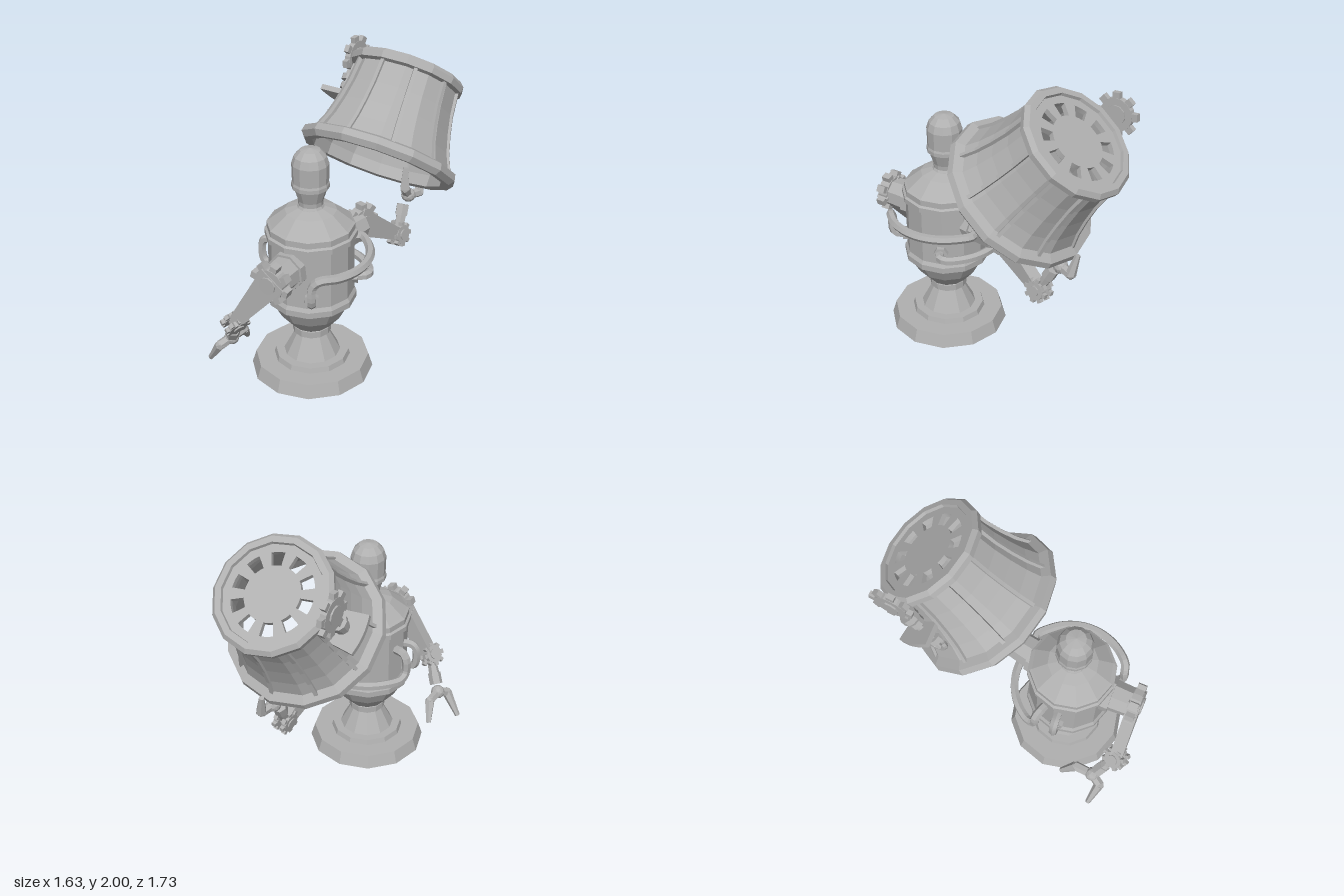
import * as THREE from 'three';

const V = (x, y, z) => new THREE.Vector3(x, y, z);
const UP = V(0, 1, 0);

export function createModel() {
  const metal = new THREE.MeshStandardMaterial({ color: 0xb0b0b0, flatShading: true, side: THREE.DoubleSide });
  metal.name = 'grey metal';
  const model = new THREE.Group();
  model.name = 'lampRobot';

  const add = (parent, name, geo) => {
    const m = new THREE.Mesh(geo, metal);
    m.name = name;
    parent.add(m);
    return m;
  };
  const group = (parent, name) => {
    const g = new THREE.Group();
    g.name = name;
    parent.add(g);
    return g;
  };
  const lathe = (parent, name, pts, sides) =>
    add(parent, name, new THREE.LatheGeometry(pts.map(p => new THREE.Vector2(p[0], p[1])), sides));
  // tapered round bar between two points
  const bar = (parent, name, a, b, r1, r2, sides = 6) => {
    const m = add(parent, name, new THREE.CylinderGeometry(r2, r1, a.distanceTo(b), sides));
    m.position.copy(a).lerp(b, 0.5);
    m.quaternion.setFromUnitVectors(UP, b.clone().sub(a).normalize());
    return m;
  };
  // toothed wheel turning on the given axis
  const gear = (parent, name, pos, axis, r, t, teeth) => {
    const g = group(parent, name);
    add(g, 'wheel', new THREE.CylinderGeometry(r * 0.76, r * 0.76, t, teeth * 2));
    add(g, 'hub', new THREE.CylinderGeometry(r * 0.42, r * 0.46, t * 1.5, 10));
    for (let i = 0; i < teeth; i++) {
      const a = i / teeth * Math.PI * 2;
      const tooth = add(g, 'tooth', new THREE.BoxGeometry(r * 0.36, t * 0.85, r * 0.34));
      tooth.position.set(Math.cos(a) * r * 0.82, 0, Math.sin(a) * r * 0.82);
      tooth.rotation.y = -a;
    }
    g.position.copy(pos);
    g.quaternion.setFromUnitVectors(UP, axis.clone().normalize());
  };
  // flat tapered arm plate from a to b, lying square to the axis
  const link = (parent, name, a, b, w1, w2, t, axis) => {
    const L = a.distanceTo(b), s = new THREE.Shape();
    s.moveTo(-w1 * 0.3, -w1 / 2);
    s.lineTo(L, -w2 / 2);
    s.lineTo(L, w2 / 2);
    s.lineTo(-w1 * 0.3, w1 / 2);
    const geo = new THREE.ExtrudeGeometry(s, { depth: t, bevelEnabled: false });
    geo.translate(0, 0, -t / 2);
    const x = b.clone().sub(a).normalize();
    const z = axis.clone().addScaledVector(x, -axis.dot(x)).normalize();
    const m = add(parent, name, geo);
    m.quaternion.setFromRotationMatrix(new THREE.Matrix4().makeBasis(x, z.clone().cross(x), z));
    m.position.copy(a);
  };

  // Stand, torso, neck and head turned on one axis
  const C = V(-0.15, 0, 0.36);
  const body = group(model, 'body');
  body.position.copy(C);
  lathe(body, 'base', [[0, 0], [0.4, 0], [0.372, 0.09], [0.25, 0.09], [0.24, 0.125], [0.185, 0.125],
    [0.11, 0.27], [0.125, 0.28], [0.125, 0.325], [0.11, 0.335], [0, 0.335]], 12);
  lathe(body, 'torso', [[0, 0.33], [0.13, 0.335], [0.21, 0.43], [0.265, 0.53], [0.29, 0.54], [0.29, 0.58],
    [0.275, 0.605], [0.275, 0.985], [0.295, 0.995], [0.295, 1.03], [0.28, 1.04], [0.28, 1.08], [0.265, 1.09],
    [0.165, 1.17], [0.09, 1.195], [0, 1.2]], 12);
  lathe(body, 'head', [[0.09, 1.19], [0.078, 1.21], [0.08, 1.24], [0.108, 1.325], [0.12, 1.33], [0.12, 1.355],
    [0.115, 1.37], [0.118, 1.49], [0.102, 1.54], [0.065, 1.58], [0, 1.592]], 12);

  // Hoses and grab handle around the torso; polar points are [degrees from front, radius, height]
  const polar = ([deg, r, y]) => {
    const a = deg * Math.PI / 180;
    return V(Math.sin(a) * r, y, Math.cos(a) * r);
  };
  const hose = (name, pts, r) => {
    const curve = new THREE.CatmullRomCurve3(pts.map(polar), false, 'centripetal');
    add(body, name, new THREE.TubeGeometry(curve, 40, r, 6));
    const p = pts[0];
    bar(body, name + 'Flange', polar([p[0], 0.25, p[2]]), polar([p[0], 0.3, p[2]]), 0.048, 0.048);
  };
  const arc = (from, to, r, y) => Array.from({ length: 7 }, (_, i) => [from + (to - from) * i / 6, r, y]);
  hose('frontHose', [[4, 0.25, 0.68], [4, 0.34, 0.68], [4, 0.365, 0.71], [5, 0.365, 0.82],
    ...arc(11, 124, 0.375, 0.865), [134, 0.26, 0.865]], 0.03);
  hose('backHose', [[88, 0.25, 0.7], [88, 0.34, 0.7], [94, 0.37, 0.7], ...arc(102, 215, 0.375, 0.7),
    [223, 0.365, 0.73], [224, 0.365, 0.83], [224, 0.34, 0.87], [224, 0.25, 0.87]], 0.03);
  hose('grabHandle', [[246, 0.25, 0.7], [246, 0.33, 0.7], [246, 0.355, 0.73], [246, 0.355, 0.84],
    [246, 0.33, 0.87], [246, 0.25, 0.87]], 0.028);

  // Arms: shoulder block, gear, upper arm, elbow, forearm and two-fingered claw
  const arm = (name, p) => {
    const g = group(model, name);
    const dir = V(p.out[0], 0, p.out[1]).normalize();
    const at = d => V(C.x, 0.865, C.z).addScaledVector(dir, d);
    bar(g, 'shoulderCollar', at(0.23), at(0.3), 0.125, 0.125, 8);
    bar(g, 'shoulder', at(0.28), at(p.reach), 0.11, 0.1, 8);
    gear(g, 'shoulderGear', p.shoulder, p.axis, 0.135, 0.07, 8);
    link(g, 'upperArm', p.shoulder, p.elbow, 0.19, 0.075, 0.085, p.axis);
    const bend = p.elbow.clone().sub(p.shoulder).cross(p.wrist.clone().sub(p.elbow)).normalize();
    for (const k of [-1, 1])
      gear(g, 'elbowGear', p.elbow.clone().addScaledVector(bend, k * 0.032), bend, 0.085, 0.035, 8);
    bar(g, 'forearm', p.elbow, p.wrist, 0.03, 0.042);
    bar(g, 'wristCuff', p.elbow.clone().lerp(p.wrist, 0.62), p.wrist, 0.046, 0.046);
    const palm = add(g, 'palm', new THREE.IcosahedronGeometry(0.05, 1));
    palm.position.copy(p.palm);
    for (const [knuckle, tip] of p.fingers) {
      bar(g, 'fingerBase', p.palm, knuckle, 0.032, 0.034);
      add(g, 'knuckle', new THREE.IcosahedronGeometry(0.036, 0)).position.copy(knuckle);
      bar(g, 'fingerTip', knuckle, tip, 0.036, 0.018);
    }
  };
  arm('rightArm', {
    out: [-0.47, 0.88], reach: 0.47, axis: V(-0.47, 0, 0.88),
    shoulder: V(-0.365, 0.875, 0.765), elbow: V(-0.615, 0.495, 0.64),
    wrist: V(-0.655, 0.32, 0.52), palm: V(-0.665, 0.275, 0.485),
    fingers: [[V(-0.735, 0.24, 0.53), V(-0.815, 0.085, 0.45)], [V(-0.6, 0.27, 0.38), V(-0.59, 0.155, 0.28)]],
  });
  arm('leftArm', {
    out: [0.62, -0.78], reach: 0.46, axis: V(0.73, 0, 0.68),
    shoulder: V(0.15, 0.875, -0.02), elbow: V(0.4, 0.64, -0.29),
    wrist: V(0.43, 0.82, -0.38), palm: V(0.465, 0.87, -0.425),
    fingers: [[V(0.44, 0.95, -0.36), V(0.44, 1.1, -0.38)], [V(0.54, 0.86, -0.49), V(0.53, 1.0, -0.53)]],
  });

  // Tilted shade: local y runs from mouth to crown, local x points to the gear side
  const lamp = group(model, 'shade');
  const axis = V(0.3, 0.77, -0.565).normalize();
  const side = V(-0.84, 0, -0.54);
  side.addScaledVector(axis, -side.dot(axis)).normalize();
  lamp.quaternion.setFromRotationMatrix(new THREE.Matrix4().makeBasis(side, axis, side.clone().cross(axis)));
  lamp.position.set(0.245, 1.25, -0.14);
  lathe(lamp, 'shadeShell', [[0.45, 0], [0.505, -0.005], [0.535, 0.03], [0.525, 0.075], [0.465, 0.095], [0.425, 0.19],
    [0.392, 0.31], [0.366, 0.44], [0.35, 0.59], [0.385, 0.6], [0.39, 0.64], [0.365, 0.667], [0.325, 0.667],
    [0.318, 0.63], [0.33, 0.58], [0.35, 0.44], [0.377, 0.31], [0.41, 0.19], [0.45, 0.08], [0.45, 0]], 14);

  // Crown plate with a ring of vents
  const plate = new THREE.Shape().absarc(0, 0, 0.33, 0, Math.PI * 2);
  for (let i = 0; i < 10; i++) {
    const a = i * Math.PI / 5, w = 0.17;
    const vent = new THREE.Path();
    vent.absarc(0, 0, 0.265, a - w, a + w, false);
    vent.absarc(0, 0, 0.18, a + w, a - w, true);
    vent.closePath();
    plate.holes.push(vent);
  }
  const crown = add(lamp, 'ventedCrown',
    new THREE.ExtrudeGeometry(plate, { depth: 0.035, bevelEnabled: false, curveSegments: 8 }));
  crown.rotation.x = -Math.PI / 2;
  crown.position.y = 0.61;

  // Ribs following the flare of the shade
  const ribLine = [[0.47, 0.08], [0.425, 0.19], [0.392, 0.31], [0.366, 0.44], [0.352, 0.6]];
  const ribShape = new THREE.Shape();
  ribLine.forEach(([r, y], i) => ribShape[i ? 'lineTo' : 'moveTo'](r + 0.014, y));
  [...ribLine].reverse().forEach(([r, y]) => ribShape.lineTo(r - 0.02, y));
  const ribGeo = new THREE.ExtrudeGeometry(ribShape, { depth: 0.024, bevelEnabled: false });
  ribGeo.translate(0, 0, -0.012);
  for (let i = 0; i < 10; i++) add(lamp, 'rib', ribGeo).rotation.y = (i + 0.5) * Math.PI / 5;

  // Winding gear, shaft and grip on the outside of the shade
  gear(lamp, 'windingGear', V(0.42, 0.68, 0), V(1, 0, 0), 0.145, 0.04, 8);
  bar(lamp, 'windingShaft', V(0.42, 0.2, 0), V(0.4, 0.62, 0), 0.03, 0.03, 8);
  for (const [y, r] of [[0.52, 0.06], [0.46, 0.05], [0.28, 0.06]])
    bar(lamp, 'bearing', V(0.405, y - 0.02, 0), V(0.405, y + 0.02, 0), r, r, 10);
  const gripShape = new THREE.Shape();
  gripShape.absarc(0, 0, 0.535, -0.245, 0.245, false);
  gripShape.absarc(0, 0, 0.37, 0.3, -0.3, true);
  const grip = add(lamp, 'grip', new THREE.ExtrudeGeometry(gripShape, { depth: 0.035, bevelEnabled: false, curveSegments: 5 }));
  grip.rotation.x = -Math.PI / 2;
  grip.position.y = 0.375;
  const bracket = add(lamp, 'bracket', new THREE.TorusGeometry(0.07, 0.022, 6, 10, Math.PI));
  bracket.rotation.set(0, Math.PI / 2, 0);
  bracket.rotateZ(Math.PI);
  bracket.position.set(0.425, 0.26, 0);

  return model;
}
